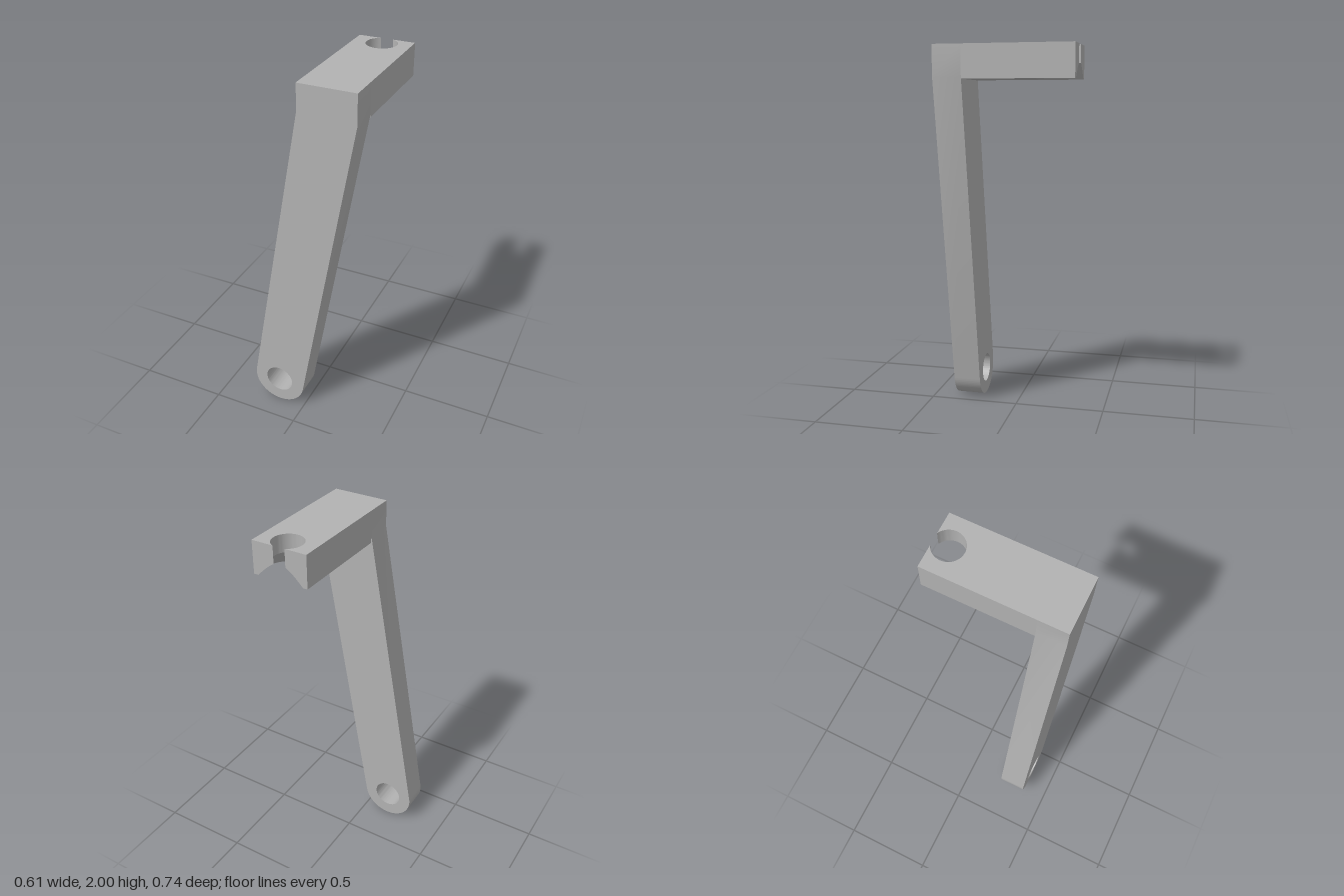
import * as THREE from 'three';
import { toCreasedNormals } from 'three/addons/utils/BufferGeometryUtils.js';

const W = 0.305, BACK = -0.368, FRONT = 0.368, ARM_BACK = 0.215;
const TOP = 2, SHELF_BOTTOM = 1.826;

// Slanted arm: rounded foot with a pivot hole, bent upright at the top
function armGeometry() {
  const cx = -0.1525, r = 0.1525, tilt = 0.178;
  const s = new THREE.Shape();
  s.moveTo(W, TOP);
  s.lineTo(0, TOP);
  s.lineTo(0, 1.865);
  s.absarc(cx, r, r, Math.PI - tilt, 2 * Math.PI - tilt, false);
  s.lineTo(W, 1.838);
  s.closePath();
  const hole = new THREE.Path();
  hole.absarc(cx, r, 0.081, 0, Math.PI * 2, true);
  s.holes.push(hole);
  const g = new THREE.ExtrudeGeometry(s, { depth: FRONT - ARM_BACK, bevelEnabled: false, curveSegments: 40 });
  g.translate(0, 0, ARM_BACK);
  return toCreasedNormals(g, 0.5);
}

// Shelf outline with a round notch of radius r that breaks through the back edge
function shelfRing(y, r) {
  const cx = W / 2, cz = -0.293, n = 48;
  const ring = [[0, BACK], [0, ARM_BACK], [W, ARM_BACK], [W, BACK]];
  const t0 = -Math.asin((cz - BACK) / r);
  for (let i = 0; i <= n; i++) {
    const t = t0 + (Math.PI - 2 * t0) * i / n;
    ring.push([cx + r * Math.cos(t), cz + r * Math.sin(t)]);
  }
  return ring.map(([x, z]) => new THREE.Vector3(x, y, z));
}

// Shelf: stacked outlines, straight notch above and conical countersink below
function shelfGeometry() {
  const r0 = 0.082, r1 = 0.148, coneTop = SHELF_BOTTOM + 0.08, steps = 10;
  const rings = [shelfRing(TOP, r0)];
  for (let i = 0; i <= steps; i++) {
    const k = (i / steps) ** 1.5;
    rings.push(shelfRing(THREE.MathUtils.lerp(coneTop, SHELF_BOTTOM, k), THREE.MathUtils.lerp(r0, r1, k)));
  }
  const pts = [];
  for (let j = 0; j < rings.length - 1; j++) {
    const u = rings[j], l = rings[j + 1];
    for (let i = 0; i < u.length; i++) {
      const k = (i + 1) % u.length;
      pts.push(l[i], l[k], u[k], l[i], u[k], u[i]);
    }
  }
  const cap = (ring, flip) => {
    const flat = ring.map(p => new THREE.Vector2(p.x, -p.z));
    for (const [a, b, c] of THREE.ShapeUtils.triangulateShape(flat, [])) {
      pts.push(ring[a], ring[flip ? c : b], ring[flip ? b : c]);
    }
  };
  cap(rings[0], false);
  cap(rings[rings.length - 1], true);
  return toCreasedNormals(new THREE.BufferGeometry().setFromPoints(pts), 0.5);
}

export function createModel() {
  const metal = new THREE.MeshStandardMaterial({ color: 0xb2b2b2 });
  metal.name = 'grey metal';
  const group = new THREE.Group();
  group.name = 'bracket';
  const add = (name, geometry) => {
    const mesh = new THREE.Mesh(geometry, metal);
    mesh.name = name;
    group.add(mesh);
  };
  add('arm', armGeometry());
  add('notchedShelf', shelfGeometry());
  return group;
}
